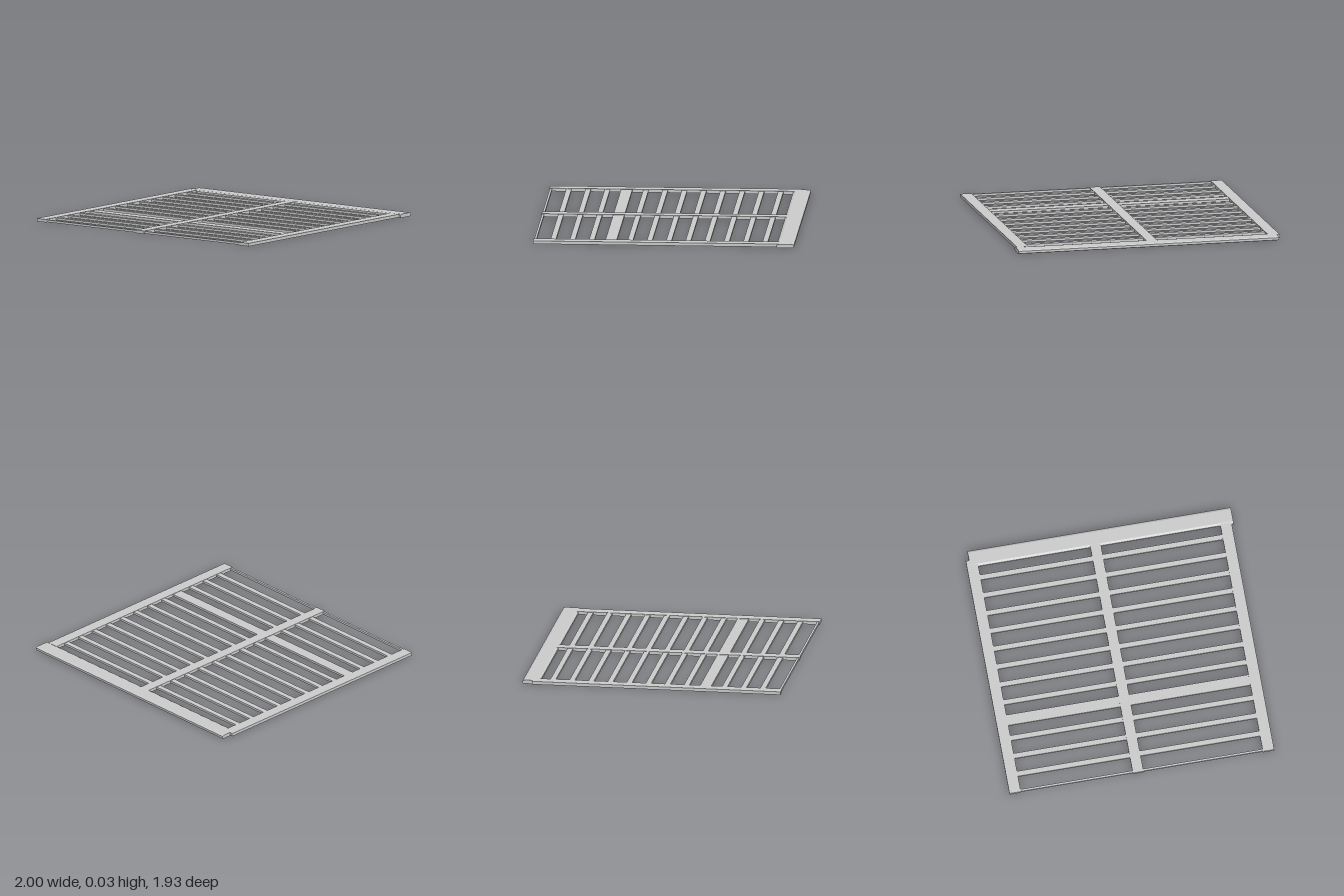
import * as THREE from 'three';

const material = new THREE.MeshStandardMaterial({ color: 0xcccccc });

// Box given by its limits on each axis
function bar(name, [x0, x1], [y0, y1], [z0, z1]) {
  const mesh = new THREE.Mesh(new THREE.BoxGeometry(x1 - x0, y1 - y0, z1 - z0), material);
  mesh.position.set((x0 + x1) / 2, (y0 + y1) / 2, (z0 + z1) / 2);
  mesh.name = name;
  return mesh;
}

export function createModel() {
  const group = new THREE.Group();
  group.name = 'slattedPanel';

  // Long rails: two sides and an off-centre middle one
  const railY = [0.004, 0.027];
  group.add(bar('leftRail', [0.9, 0.985], railY, [-0.85, 0.965]));
  group.add(bar('rightRail', [-1, -0.915], railY, [-0.89, 0.965]));
  group.add(bar('middleRail', [-0.075, 0.005], railY, [-0.86, 0.965]));

  // Evenly spaced slats; one is wide, the frontmost is a thin edge strip
  const slats = new THREE.Group();
  slats.name = 'slats';
  for (let i = 0; i < 13; i++) {
    const z = i === 12 ? 0.953 : -0.747 + i * 0.1425;
    const half = i === 8 ? 0.042 : i === 12 ? 0.008 : 0.02;
    for (const span of [[-0.92, -0.07], [0, 0.905]]) {
      slats.add(bar(i === 8 ? 'wideSlat' : 'slat', span, [0.007, 0.024], [z - half, z + half]));
    }
  }
  group.add(slats);

  // Head rail: chamfered profile (z, y) extruded across the back
  const profile = new THREE.Shape([
    [-0.966, 0.004], [-0.958, 0], [-0.846, 0], [-0.838, 0.004],
    [-0.838, 0.02], [-0.855, 0.0275], [-0.951, 0.0275], [-0.966, 0.021],
  ].map(([z, y]) => new THREE.Vector2(-z, y)));
  const headGeometry = new THREE.ExtrudeGeometry(profile, { depth: 1.975, bevelEnabled: false });
  headGeometry.rotateY(Math.PI / 2);
  const head = new THREE.Mesh(headGeometry, material);
  head.position.x = -0.975;
  head.name = 'headRail';
  group.add(head);

  return group;
}
